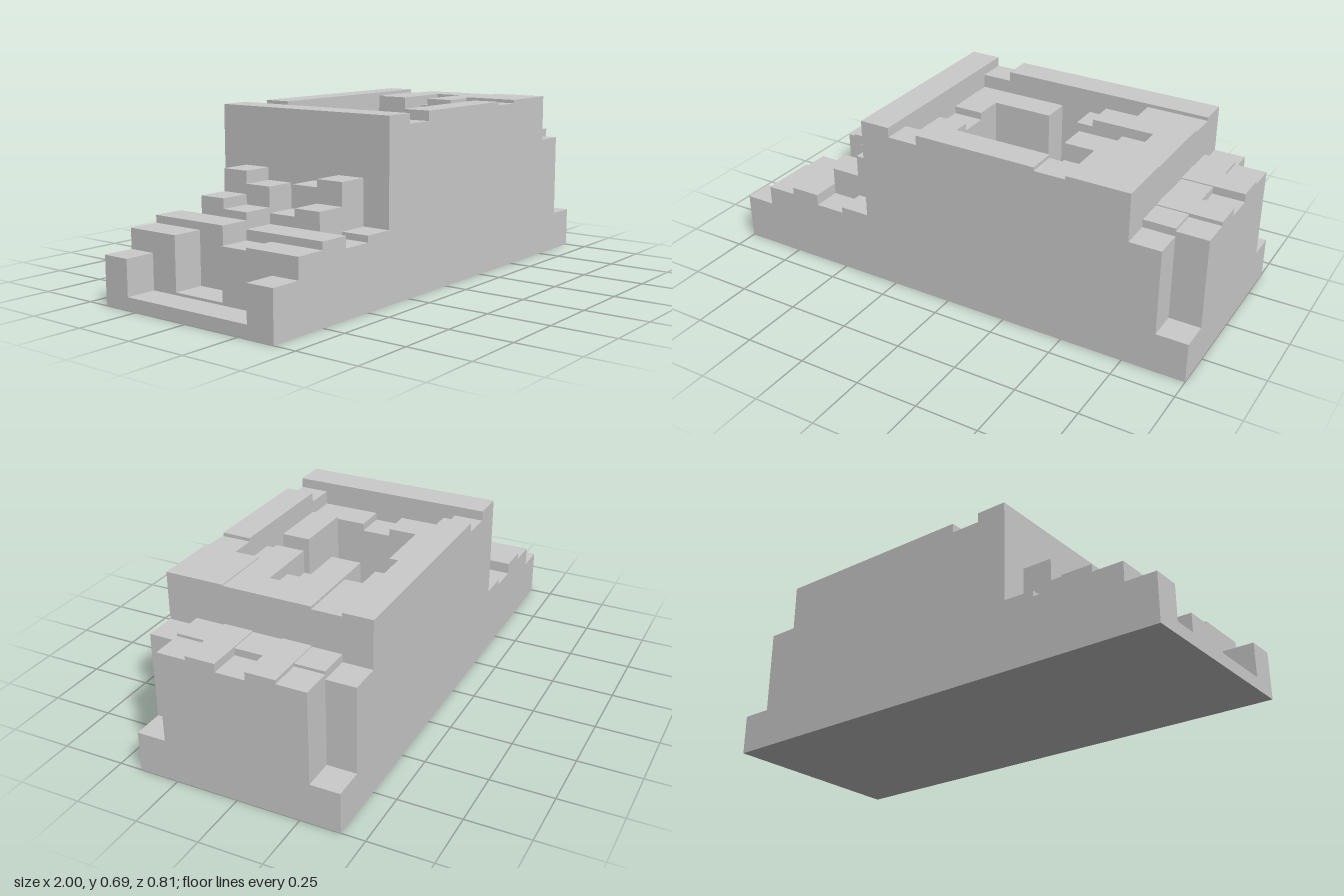
import * as THREE from 'three';

const DX = 0.125, DZ = 0.8143 / 7;
const X0 = -1, Z0 = -0.8143 / 2;

// Heights of each lengthwise row in hundredths, from x = -1 to x = +1
const ROWS = {
  backRim:       [19, 27, 30, 25.5, 28, 69.4, 65.5, 69.4, 69.4, 69.4, 69.4, 69.4, 69.4, 69.4, 50.5, 16.3],
  backInner:     [5, 27, 30, 37, 46, 69.4, 60, 60, 60, 30, 60, 60, 68, 68, 53.6, 52.5],
  backMiddle:    [5, 6, 30, 33, 41, 69.4, 60, 6, 6, 6, 6, 69, 69, 69, 54, 54],
  centre:        [5, 6, 6, 6, 6, 69.4, 57, 6, 6, 6, 6, 60, 65, 69, 53.6, 50.8],
  frontMiddle:   [5, 26, 30, 34, 43, 69.4, 60, 6, 6, 6, 6, 69, 69, 69, 54, 54],
  frontInner:    [5, 27, 30, 37, 46, 69.4, 60, 61, 61, 30, 61, 62, 69.4, 69.4, 53.6, 52.5],
  frontRim:      [19, 27, 30, 25.5, 28, 69.4, 65.5, 69.4, 69.4, 69.4, 69.4, 68, 69.4, 69.4, 50.5, 16.3],
};

// One row as a stepped outline, extruded one cell deep
function steppedRow(heights) {
  const shape = new THREE.Shape();
  shape.moveTo(X0, 0);
  heights.forEach((h, i) => {
    const x = X0 + i * DX, y = h / 100;
    if (h !== heights[i - 1]) shape.lineTo(x, y);
    if (h !== heights[i + 1]) shape.lineTo(x + DX, y);
  });
  shape.lineTo(-X0, 0);
  return new THREE.ExtrudeGeometry(shape, { depth: DZ, bevelEnabled: false });
}

export function createModel() {
  const model = new THREE.Group();
  model.name = 'steppedCourtyardBuilding';
  const stone = new THREE.MeshStandardMaterial({ color: 0xcccccc, flatShading: true });

  // Seven rows side by side form stairs, walled courtyard and rear steps
  Object.entries(ROWS).forEach(([name, heights], j) => {
    const row = new THREE.Mesh(steppedRow(heights), stone);
    row.name = name + 'Row';
    row.position.z = Z0 + j * DZ;
    model.add(row);
  });
  return model;
}
